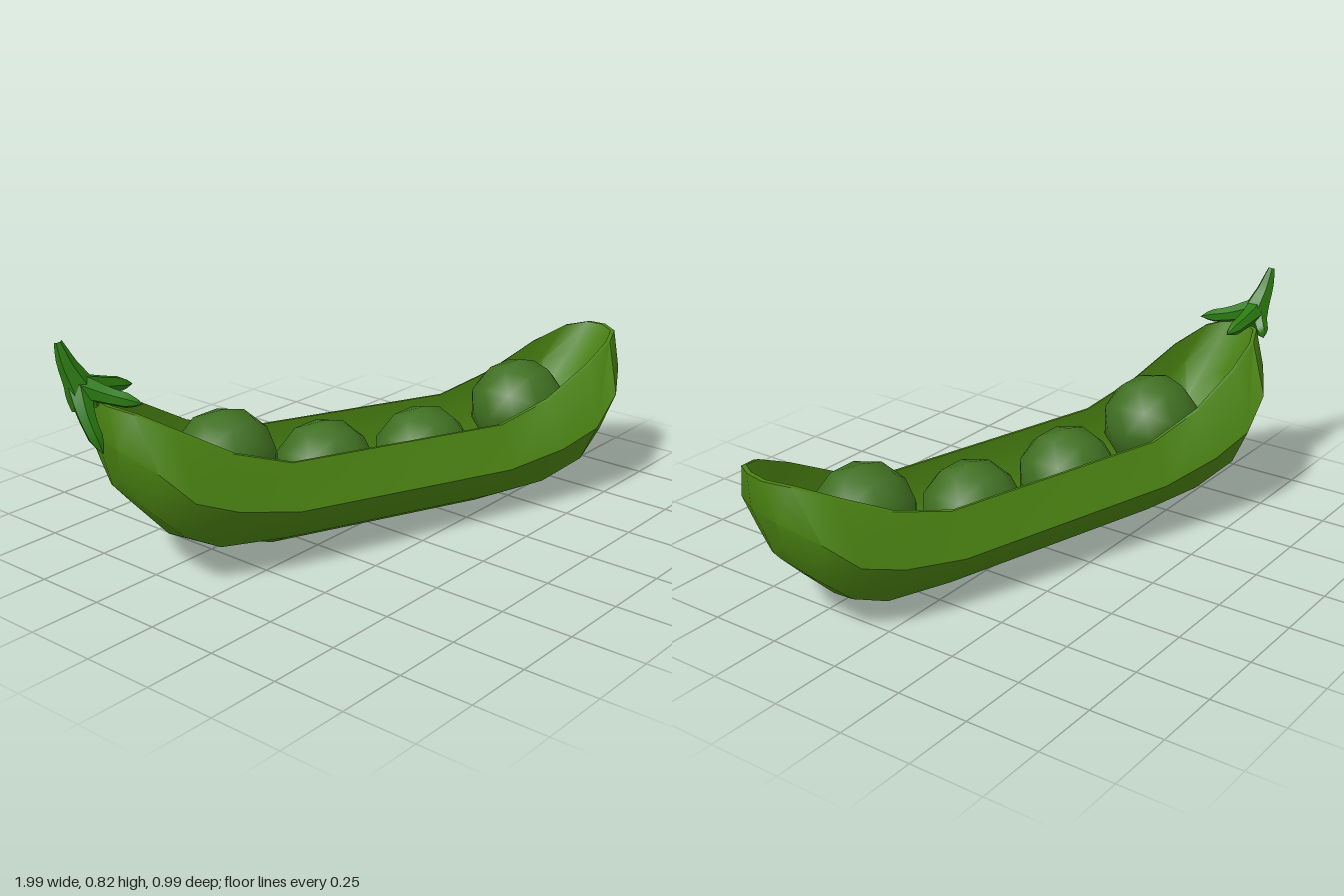
import * as THREE from 'three';
import { toCreasedNormals } from 'three/addons/utils/BufferGeometryUtils.js';

const mat = (color) => new THREE.MeshStandardMaterial({ color });
const podMat = mat(0x4a8212);
const peaMat = mat(0x3f6f20);
const stemMat = mat(0x2b7a10);

// Long edges of the shell from the middle to the tip: [along, height, half width]
const RIM = [[0.41, 0.347, 0.188], [0.62, 0.41, 0.182], [0.8, 0.505, 0.165], [0.92, 0.565, 0.125], [0.985, 0.585, 0.07], [1.0, 0.59, 0]];
const WIDE = [[0.41, 0.205, 0.257], [0.63, 0.245, 0.26], [0.78, 0.3, 0.257], [0.885, 0.4, 0.222], [0.975, 0.46, 0.12], [1.0, 0.475, 0]];
const LOW = [[0.41, 0.075, 0.153], [0.64, 0.085, 0.145], [0.78, 0.16, 0.18], [0.88, 0.25, 0.155], [0.95, 0.36, 0.08], [0.967, 0.38, 0]];
const KEEL = [[0.41, 0.022, 0.058], [0.62, 0.075, 0.058], [0.78, 0.125, 0.055], [0.88, 0.23, 0.045], [0.935, 0.29, 0.03], [0.943, 0.3, 0]];

// Hollow of the pod, per edge: [length scale, lift, width scale]
const HOLLOW = [[0.985, 0, 0.95], [0.945, 0.03, 0.66], [0.93, 0.04, 0.75], [0.93, 0.035, 0.8]];

function inset([u, y, w], row) {
  const [length, lift, width] = HOLLOW[row];
  return [u * length, y + lift, w * width];
}

// One closed cross-section: down the outside, up the other side, back along the inside
function section(station, dir) {
  const outer = [RIM, WIDE, LOW, KEEL].map((row) => row[station]);
  const inner = outer.map(inset);
  const at = (side) => ([u, y, w]) => new THREE.Vector3(dir * u, y, side * w);
  return [
    ...outer.map(at(1)),
    ...outer.map(at(-1)).reverse(),
    ...inner.map(at(-1)),
    ...inner.map(at(1)).reverse(),
  ];
}

function podGeometry() {
  const rings = [];
  for (let i = 5; i >= 0; i--) rings.push(section(i, -1));
  for (let i = 0; i <= 5; i++) rings.push(section(i, 1));
  const n = rings[0].length;
  const index = [];
  for (let i = 0; i < rings.length - 1; i++) {
    for (let j = 0; j < n; j++) {
      const a = i * n + j;
      const b = i * n + ((j + 1) % n);
      index.push(a, b, a + n, b, b + n, a + n);
    }
  }
  const g = new THREE.BufferGeometry().setFromPoints(rings.flat());
  g.setIndex(index);
  return toCreasedNormals(g, 0.8);
}

// Tube along a smooth path whose radius follows a list of values
function taperedTube(points, radii) {
  const steps = 8, sides = 6;
  const curve = new THREE.CatmullRomCurve3(points.map((p) => new THREE.Vector3(...p)));
  const g = new THREE.TubeGeometry(curve, steps, 1, sides, false);
  const pos = g.attributes.position;
  const v = new THREE.Vector3();
  for (let i = 0; i <= steps; i++) {
    const c = curve.getPointAt(i / steps);
    const t = (i / steps) * (radii.length - 1);
    const k = Math.min(Math.floor(t), radii.length - 2);
    const r = THREE.MathUtils.lerp(radii[k], radii[k + 1], t - k);
    for (let j = 0; j <= sides; j++) {
      const id = i * (sides + 1) + j;
      v.fromBufferAttribute(pos, id).sub(c).multiplyScalar(r).add(c);
      pos.setXYZ(id, v.x, v.y, v.z);
    }
  }
  return toCreasedNormals(g, 0.9);
}

export function createModel() {
  const model = new THREE.Group();
  const add = (parent, name, geometry, material) => {
    const mesh = new THREE.Mesh(geometry, material);
    mesh.name = name;
    parent.add(mesh);
    return mesh;
  };

  // Open pod, lying slightly tilted and turned
  const pod = add(model, 'pod', podGeometry(), podMat);
  pod.rotation.set(0, -0.33, -0.04);
  pod.position.set(0.022, 0, -0.006);

  // Row of peas
  [[-0.49, 0.34, -0.18], [-0.14, 0.23, -0.06], [0.23, 0.205, 0.07], [0.62, 0.305, 0.2]].forEach((p, i) => {
    const pea = add(model, `pea${i + 1}`, new THREE.IcosahedronGeometry(0.174, 1), peaMat);
    pea.position.set(...p);
  });

  // Stem with its crown of small leaves
  const crown = new THREE.Group();
  crown.name = 'stemAndLeaves';
  model.add(crown);
  add(crown, 'stem', taperedTube(
    [[-0.915, 0.61, -0.335], [-0.935, 0.68, -0.345], [-0.963, 0.75, -0.36], [-0.982, 0.822, -0.37]],
    [0.05, 0.052, 0.042, 0.032, 0.024, 0.012]), stemMat);
  const leaves = [
    [[-0.84, 0.655, -0.345], [-0.73, 0.63, -0.335]],
    [[-0.89, 0.65, -0.26], [-0.845, 0.634, -0.162]],
    [[-0.955, 0.59, -0.29], [-0.947, 0.485, -0.235]],
    [[-0.91, 0.635, -0.37], [-0.88, 0.59, -0.405]],
  ];
  leaves.forEach(([mid, tip], i) => {
    add(crown, `leaf${i + 1}`, taperedTube(
      [[-0.935, 0.675, -0.342], mid, tip],
      [0.04, 0.036, 0.03, 0.026, 0.024, 0]), stemMat);
  });

  return model;
}
